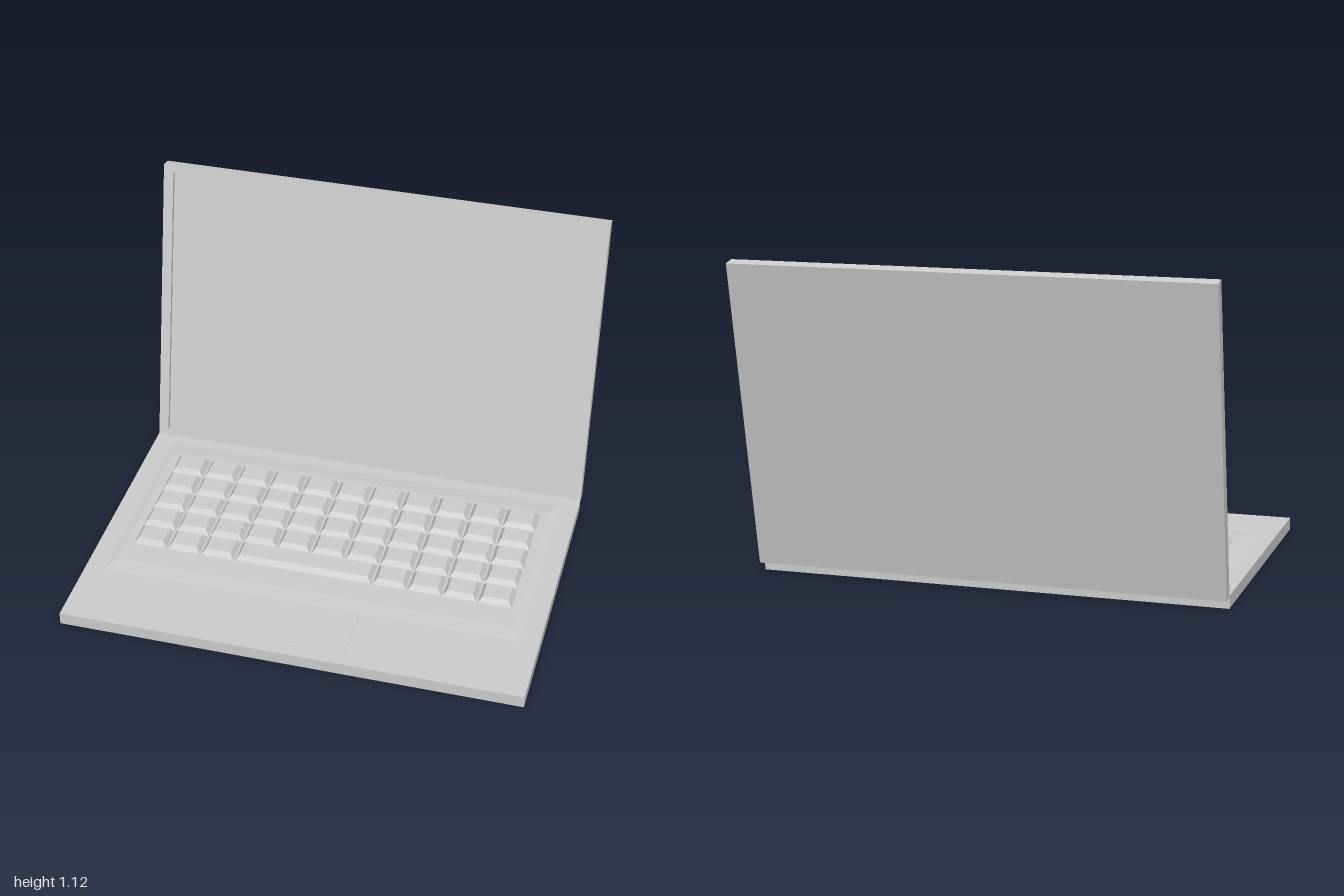
import * as THREE from 'three';

const material = new THREE.MeshStandardMaterial({ color: 0xcccccc, flatShading: true });

function addMesh(parent, name, geometry, x = 0, y = 0, z = 0) {
  const mesh = new THREE.Mesh(geometry, material);
  mesh.name = name;
  mesh.position.set(x, y, z);
  parent.add(mesh);
  return mesh;
}

// Box standing on y = 0 whose top face is inset on every side
function taperedBox(w, h, d, insetX, insetZ) {
  const g = new THREE.BoxGeometry(w, h, d).translate(0, h / 2, 0);
  const p = g.attributes.position;
  for (let i = 0; i < p.count; i++) {
    if (p.getY(i) < h / 2) continue;
    p.setX(i, p.getX(i) - Math.sign(p.getX(i)) * insetX);
    p.setZ(i, p.getZ(i) - Math.sign(p.getZ(i)) * insetZ);
  }
  g.computeVertexNormals();
  return g;
}

export function createModel() {
  const model = new THREE.Group();
  model.name = 'laptop';
  const W = 1.66, D = 1.1, T = 0.045;

  // Whole machine is turned about the vertical axis
  const laptop = new THREE.Group();
  laptop.name = 'turnedLaptop';
  laptop.rotation.y = 0.316;
  laptop.position.set(0.0375, 0, 0.12);
  model.add(laptop);

  // Base slab, low keyboard surround and touchpad
  addMesh(laptop, 'base', new THREE.BoxGeometry(W, T, D), 0, T / 2, 0);
  addMesh(laptop, 'keyboardSurround', taperedBox(1.52, 0.006, 0.78, 0.03, 0.06), 0, T, -0.11);
  addMesh(laptop, 'touchpad', new THREE.BoxGeometry(0.38, 0.002, 0.22), 0, T, 0.395);

  // Keys: 11 columns by 5 rows, with a space bar four columns wide in the front row
  const keyboard = new THREE.Group();
  keyboard.name = 'keyboard';
  laptop.add(keyboard);
  const px = 0.128, pz = 0.109, gap = 0.004, x0 = -0.704, z0 = -0.42;
  const addKey = (name, col, row, span) => addMesh(keyboard, name,
    taperedBox(px * span - gap, 0.022, pz - gap, 0.016, 0.016),
    x0 + (col + span / 2) * px, T + 0.004, z0 + (row + 0.5) * pz);
  for (let row = 0; row < 5; row++) {
    for (let col = 0; col < 11; col++) {
      if (row === 4 && col >= 3 && col <= 6) continue;
      addKey('key', col, row, 1);
    }
  }
  addKey('spaceBar', 3, 4, 4);

  // Lid leaning back from the rear top edge of the base
  const lid = new THREE.Group();
  lid.name = 'lid';
  lid.position.set(0, T, -D / 2);
  lid.rotation.x = -0.197;
  laptop.add(lid);
  const recess = 0.015, side = 0.037, edge = 0.025;
  addMesh(lid, 'lidBackAndScreen', new THREE.BoxGeometry(W, D, T - recess), 0, D / 2, -(T + recess) / 2);

  // Raised bezel around the recessed screen
  const frame = new THREE.Shape([[-W / 2, 0], [W / 2, 0], [W / 2, D], [-W / 2, D]]
    .map(([x, y]) => new THREE.Vector2(x, y)));
  const l = W / 2 - side;
  frame.holes.push(new THREE.Path([[-l, edge], [-l, D - edge], [l, D - edge], [l, edge]]
    .map(([x, y]) => new THREE.Vector2(x, y))));
  addMesh(lid, 'bezel', new THREE.ExtrudeGeometry(frame, { depth: recess, bevelEnabled: false }), 0, 0, -recess);

  return model;
}
